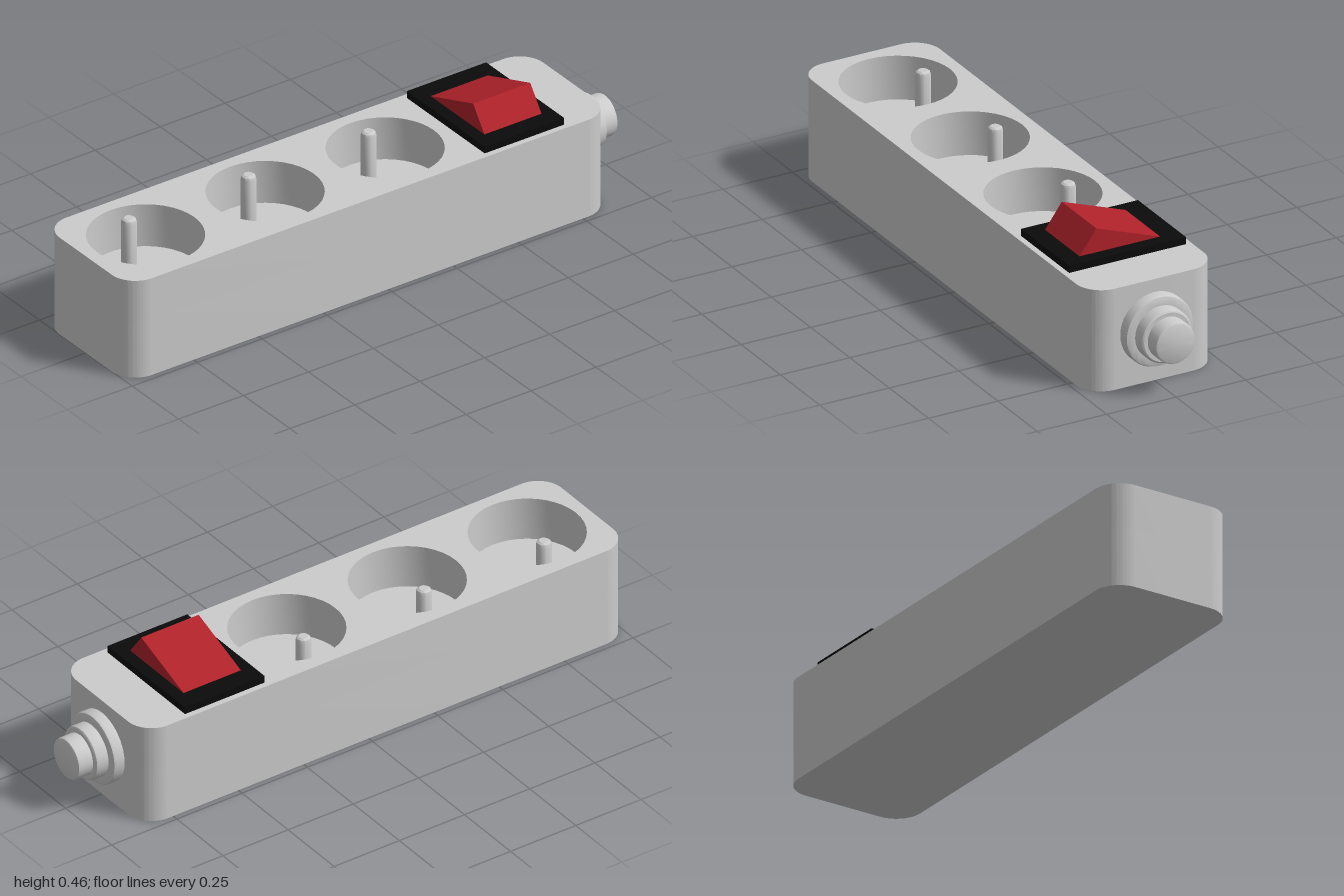
import * as THREE from 'three';
import { toCreasedNormals } from 'three/addons/utils/BufferGeometryUtils.js';

const grey = new THREE.MeshStandardMaterial({ color: 0xcccccc });
const black = new THREE.MeshStandardMaterial({ color: 0x0b0b0b });
const red = new THREE.MeshStandardMaterial({ color: 0xb0222a });

const LEFT = -1, RIGHT = 0.86, HALF = 0.23, TOP = 0.352, FLOOR = 0.2, CORNER = 0.09;
const SOCKETS = [-0.77, -0.31, 0.152], WELL = 0.187;

function part(name, geometry, material) {
  const mesh = new THREE.Mesh(geometry, material);
  mesh.name = name;
  return mesh;
}

// Rounded footprint of the strip
function footprint() {
  const s = new THREE.Shape(), r = CORNER;
  s.absarc(RIGHT - r, HALF - r, r, 0, Math.PI / 2);
  s.absarc(LEFT + r, HALF - r, r, Math.PI / 2, Math.PI);
  s.absarc(LEFT + r, r - HALF, r, Math.PI, Math.PI * 1.5);
  s.absarc(RIGHT - r, r - HALF, r, Math.PI * 1.5, Math.PI * 2);
  s.closePath();
  return s;
}

// Upright extrusion from y0 to y1
function slab(shape, y0, y1) {
  const g = new THREE.ExtrudeGeometry(shape, { depth: y1 - y0, bevelEnabled: false, curveSegments: 20 });
  g.rotateX(-Math.PI / 2).translate(0, y0, 0);
  return toCreasedNormals(g, 0.6);
}

function turned(profile, segments) {
  const points = profile.map(([r, h]) => new THREE.Vector2(r, h));
  return toCreasedNormals(new THREE.LatheGeometry(points, segments), 0.5);
}

// Earth pin and two contact holes in a round well
function createSocket(x) {
  const socket = new THREE.Group();
  socket.name = 'socket';
  const pin = part('earthPin', turned(
    [[0.025, FLOOR], [0.025, 0.356], [0.022, 0.366], [0.015, 0.371], [0, 0.371]], 20), grey);
  pin.position.z = -0.09;
  socket.add(pin);
  for (const side of [-1, 1]) {
    const hole = part('contactHole', new THREE.CircleGeometry(0.022, 20).rotateX(-Math.PI / 2), black);
    hole.position.set(side * 0.101, FLOOR + 0.002, 0.048);
    socket.add(hole);
  }
  socket.position.x = x;
  return socket;
}

// Dark plate with a tilted wedge rocker
function createSwitch() {
  const group = new THREE.Group();
  group.name = 'switch';
  const plate = part('switchPlate', new THREE.BoxGeometry(0.305, 0.025, 0.42), black);
  plate.position.y = TOP + 0.0125;
  const wedge = new THREE.Shape([
    new THREE.Vector2(-0.15, 0.375), new THREE.Vector2(0.147, 0.375), new THREE.Vector2(-0.088, 0.46)]);
  const g = new THREE.ExtrudeGeometry(wedge, { depth: 0.22, bevelEnabled: false });
  g.translate(0, 0, -0.11).rotateY(Math.PI / 2);
  group.add(plate, part('rocker', g, red));
  group.position.x = 0.538;
  return group;
}

export function createModel() {
  const model = new THREE.Group();
  model.name = 'powerStrip';

  // Solid base below, pierced shell above
  const pierced = footprint();
  for (const x of SOCKETS) {
    const well = new THREE.Path();
    well.absarc(x, 0, WELL, 0, Math.PI * 2, true);
    pierced.holes.push(well);
  }
  model.add(part('bodyBase', slab(footprint(), 0, FLOOR), grey));
  model.add(part('bodyTop', slab(pierced, FLOOR, TOP), grey));

  for (const x of SOCKETS) model.add(createSocket(x));
  model.add(createSwitch());

  // Stepped cable collar with softened edges
  const collar = part('cableCollar', turned([
    [0.122, 0], [0.122, 0.03], [0.119, 0.037], [0.112, 0.04],
    [0.091, 0.04], [0.091, 0.076], [0.089, 0.082], [0.084, 0.085],
    [0.071, 0.085], [0.071, 0.13], [0.069, 0.137], [0.063, 0.14], [0, 0.14]], 40), grey);
  collar.rotation.z = -Math.PI / 2;
  collar.position.set(RIGHT, 0.185, 0);
  model.add(collar);

  return model;
}
